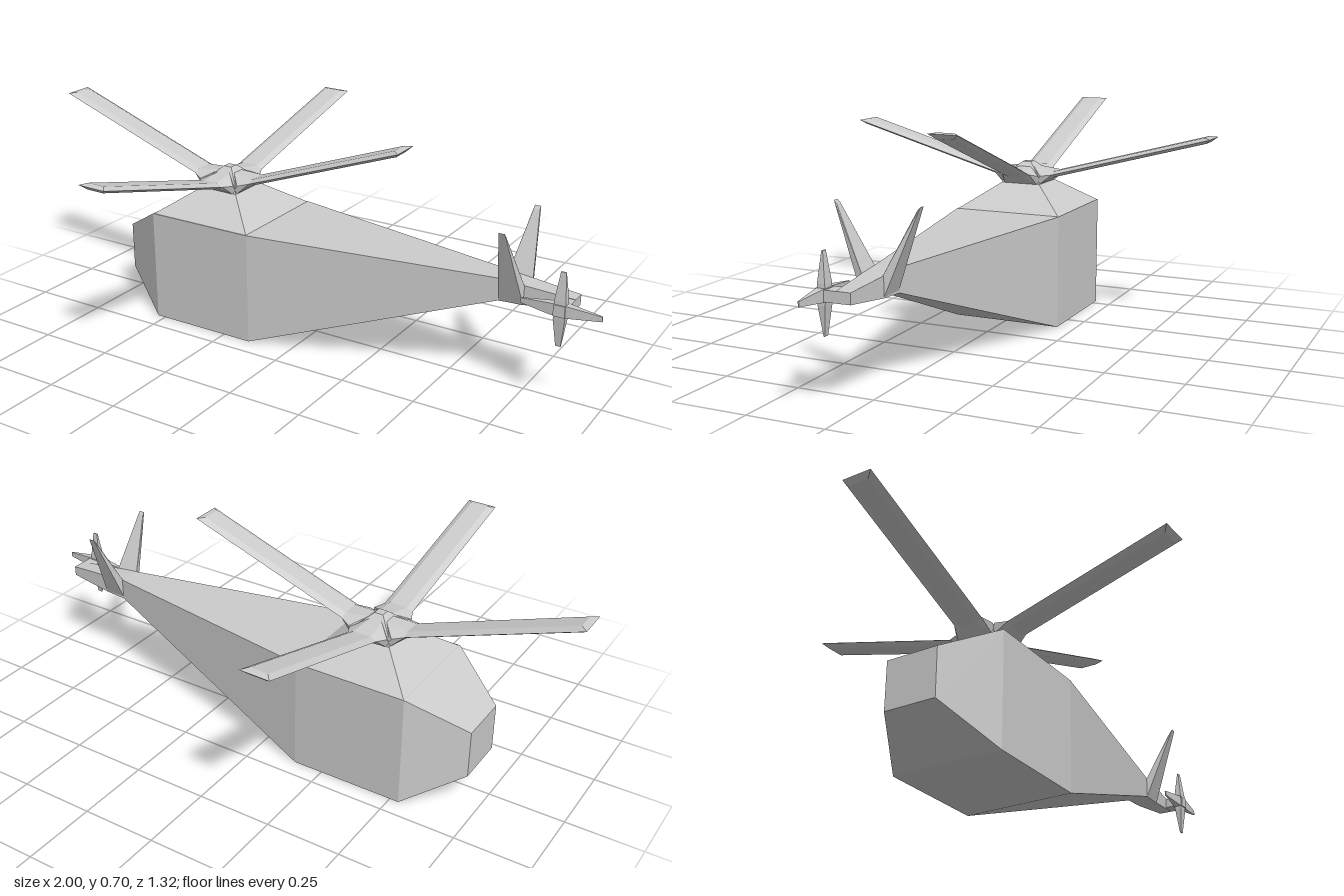
import * as THREE from 'three';
import { ConvexGeometry } from 'three/addons/geometries/ConvexGeometry.js';

const material = new THREE.MeshStandardMaterial({ color: 0xcccccc, flatShading: true });

function addMesh(parent, name, geometry) {
  const mesh = new THREE.Mesh(geometry, material);
  mesh.name = name;
  parent.add(mesh);
  return mesh;
}

// Convex faceted solid around a list of [x, y, z] corners
const hull = (points) => new ConvexGeometry(points.map((p) => new THREE.Vector3(...p)));

// Four corners of a level rectangle at height y
const rect = (x0, x1, y, z0, z1) => [[x0, y, z0], [x1, y, z0], [x1, y, z1], [x0, y, z1]];

// Four corners of an upright rectangle across the x axis
const section = (x, y0, y1, z0, z1) => [[x, y0, z0], [x, y0, z1], [x, y1, z1], [x, y1, z0]];

// Flat-faced skin through four-cornered sections, closed at both ends
function loft(rings) {
  const pos = [];
  const quad = (a, b, c, d) => pos.push(...a, ...b, ...c, ...a, ...c, ...d);
  for (let k = 0; k < rings.length - 1; k++) {
    const a = rings[k], b = rings[k + 1];
    for (let i = 0; i < 4; i++) {
      const j = (i + 1) % 4;
      quad(a[i], b[i], b[j], a[j]);
    }
  }
  quad(...rings[0]);
  quad(...[...rings[rings.length - 1]].reverse());
  const geometry = new THREE.BufferGeometry();
  geometry.setAttribute('position', new THREE.Float32BufferAttribute(pos, 3));
  geometry.computeVertexNormals();
  return geometry;
}

// Bevel-edged rotor blade along +x, widest at mid thickness
function bladeGeometry(length) {
  const w = 0.05, t = 0.01, inset = 0.02;
  return hull([
    ...rect(0, length, 0, -w, w),
    ...rect(0, length - inset, t, -w + inset, w - inset),
    ...rect(0, length - inset, -t, -w + inset, w - inset),
  ]);
}

function createMainRotor() {
  const rotor = new THREE.Group();
  rotor.name = 'mainRotor';

  // Hub block with a peaked cap
  addMesh(rotor, 'hub', hull([
    ...rect(-0.07, 0.07, 0.46, -0.07, 0.07),
    ...rect(-0.06, 0.06, 0.49, -0.06, 0.06),
  ]));
  addMesh(rotor, 'hubCap', hull([
    ...rect(-0.06, 0.06, 0.49, -0.06, 0.06),
    ...rect(-0.015, 0.015, 0.53, -0.015, 0.015),
  ]));

  // Four upswept blades, each with a flared root
  for (let i = 0; i < 4; i++) {
    const alongX = i % 2 === 0;
    const slope = alongX ? 0.358 : 0.275;
    const arm = new THREE.Group();
    arm.name = 'bladeArm';
    arm.rotation.y = i * Math.PI / 2 - (alongX ? 0 : 0.03);
    rotor.add(arm);
    const y = 0.48 + slope * 0.05;
    addMesh(arm, 'bladeRoot', hull([
      [0.055, 0.46, -0.068], [0.055, 0.46, 0.068],
      [0.07, 0.46, -0.06], [0.07, 0.46, 0.06],
      [0.075, 0.49, -0.068], [0.075, 0.49, 0.068],
      [0.03, 0.515, -0.02], [0.03, 0.515, 0.02],
      [0.11, y, -0.05], [0.11, y, 0.05],
      [0.11, y + 0.01, -0.03], [0.11, y + 0.01, 0.03],
      [0.11, y - 0.01, -0.03], [0.11, y - 0.01, 0.03],
    ]));
    const blade = addMesh(arm, 'rotorBlade', bladeGeometry(0.6 * Math.hypot(1, slope)));
    blade.position.set(0.06, 0.48, 0);
    blade.rotation.z = Math.atan(slope);
  }
  rotor.position.x = -0.34;
  return rotor;
}

function createTailRotor() {
  const rotor = new THREE.Group();
  rotor.name = 'tailRotor';
  // Hub and four tapered blades in the xy plane
  addMesh(rotor, 'tailHub', new THREE.BoxGeometry(0.036, 0.036, 0.034));
  for (let i = 0; i < 4; i++) {
    const length = i % 2 ? 0.118 : 0.125;
    const blade = addMesh(rotor, 'tailBlade', hull([
      ...section(0, -0.018, 0.018, -0.014, 0.014),
      ...section(0.03, -0.018, 0.018, -0.012, 0.012),
      ...section(length, -0.008, 0.008, -0.002, 0.002),
    ]));
    blade.rotation.z = i * Math.PI / 2;
  }
  rotor.position.set(0.875, 0.328, 0.07);
  return rotor;
}

export function createModel() {
  const model = new THREE.Group();
  model.name = 'helicopter';

  // Fuselage running from the blunt nose to the thin tail
  addMesh(model, 'fuselage', loft([
    section(-0.71, 0.11, 0.27, -0.09, 0.085),
    section(-0.53, 0, 0.378, -0.19, 0.185),
    section(-0.15, 0, 0.378, -0.19, 0.185),
    section(0.665, 0.292, 0.365, -0.04, 0.037),
    section(0.745, 0.295, 0.358, -0.036, 0.033),
    section(0.9, 0.312, 0.345, -0.025, 0.02),
  ]));

  // Sloped mount under the main rotor
  addMesh(model, 'rotorMount', hull([
    ...rect(-0.53, -0.15, 0.376, -0.19, 0.185),
    ...rect(-0.41, -0.27, 0.46, -0.07, 0.07),
  ]));
  model.add(createMainRotor());

  // Pair of splayed tail fins
  for (const side of [1, -1]) {
    addMesh(model, side > 0 ? 'leftFin' : 'rightFin', hull([
      [0.665, 0.293, side * 0.037], [0.745, 0.295, side * 0.035],
      [0.665, 0.363, side * 0.037], [0.745, 0.357, side * 0.033],
      [0.695, 0.55, side * 0.135], [0.715, 0.55, side * 0.135],
      [0.695, 0.54, side * 0.126], [0.715, 0.54, side * 0.126],
    ]));
  }

  // Side arm carrying the tail rotor
  const arm = addMesh(model, 'tailRotorArm', new THREE.BoxGeometry(0.05, 0.033, 0.06));
  arm.position.set(0.875, 0.328, 0.03);
  model.add(createTailRotor());

  return model;
}
